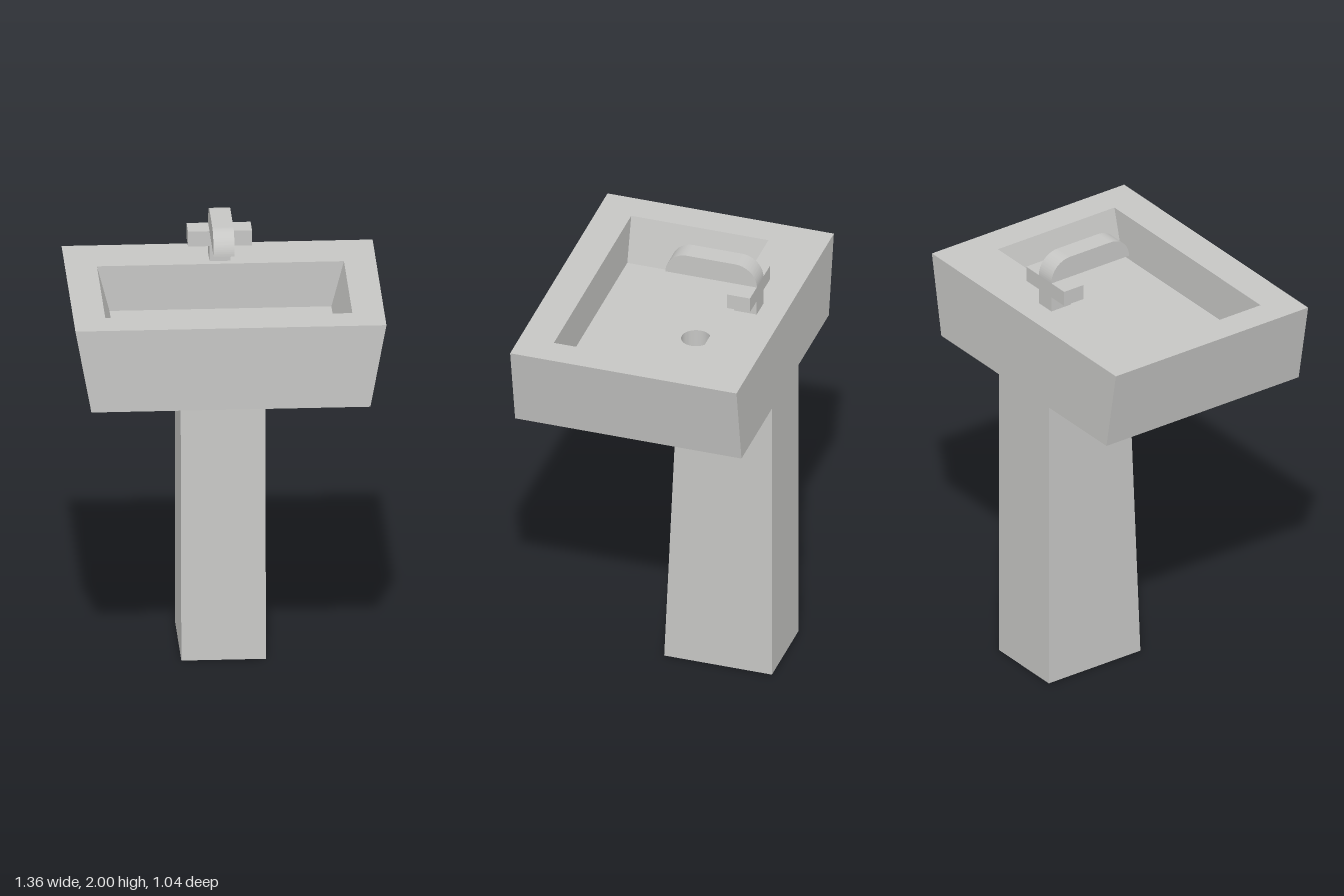
import * as THREE from 'three';
import { toCreasedNormals } from 'three/addons/utils/BufferGeometryUtils.js';

const ceramic = new THREE.MeshStandardMaterial({ color: 0xc6c6c4 });
ceramic.name = 'grey ceramic';

function part(name, geometry) {
  const mesh = new THREE.Mesh(geometry, ceramic);
  mesh.name = name;
  return mesh;
}

function box(name, w, h, d, x, y, z) {
  return part(name, new THREE.BoxGeometry(w, h, d).translate(x, y, z));
}

// Rectangle in plan; shape y is -z
function rectangle(Type, halfX, z0, z1) {
  return new Type([[-halfX, -z1], [halfX, -z1], [halfX, -z0], [-halfX, -z0]]
    .map(([x, y]) => new THREE.Vector2(x, y)));
}

// Raises a plan shape from y0 to y1, then remaps x at each height
function raise(shape, y0, y1, mapX) {
  const geometry = new THREE.ExtrudeGeometry(shape, { depth: y1 - y0, bevelEnabled: false, curveSegments: 24 });
  geometry.rotateX(-Math.PI / 2).translate(0, y0, 0);
  const p = geometry.attributes.position;
  for (let i = 0; i < p.count; i++) p.setX(i, mapX(p.getX(i), p.getY(i)));
  return toCreasedNormals(geometry, 0.6);
}

// Side profile drawn as (z, y), extruded across x and centred
function sideProfile(shape, width) {
  const geometry = new THREE.ExtrudeGeometry(shape, { depth: width, bevelEnabled: false, curveSegments: 16 });
  geometry.rotateY(-Math.PI / 2).translate(width / 2, 0, 0);
  return toCreasedNormals(geometry, 0.6);
}

export function createModel() {
  const group = new THREE.Group();
  group.name = 'pedestalSink';

  const bottom = 1.38, floor = 1.55, rim = 1.76;
  const outerAt = (y) => THREE.MathUtils.mapLinear(y, bottom, rim, 0.61, 0.68);
  const innerAt = (y) => THREE.MathUtils.mapLinear(y, floor, rim, 0.485, 0.54);

  // Basin floor slab with the drain hole
  const slab = rectangle(THREE.Shape, 1, -0.52, 0.52);
  slab.holes.push(new THREE.Path().absarc(0, 0.11, 0.065, 0, Math.PI * 2, true));
  group.add(part('basinFloor', raise(slab, bottom, floor,
    (x, y) => Math.abs(x) > 0.9 ? Math.sign(x) * outerAt(y) : x)));

  // Flared basin walls around the bowl
  const walls = rectangle(THREE.Shape, 1, -0.52, 0.52);
  walls.holes.push(rectangle(THREE.Path, 0.5, -0.265, 0.365));
  group.add(part('basinWalls', raise(walls, floor, rim,
    (x, y) => Math.sign(x) * (Math.abs(x) > 0.9 ? outerAt(y) : innerAt(y)))));

  // Pedestal with a sloping front
  const column = new THREE.Shape([[-0.52, 0], [-0.025, 0], [-0.085, bottom], [-0.52, bottom]]
    .map(([z, y]) => new THREE.Vector2(z, y)));
  group.add(part('pedestal', sideProfile(column, 0.37)));

  // Tap: post, cross handle and rounded spout
  const tap = new THREE.Group();
  tap.name = 'tap';
  tap.add(box('tapPost', 0.092, 0.14, 0.105, 0, 1.83, -0.352));
  for (const side of [-1, 1]) {
    tap.add(box(side > 0 ? 'leftHandle' : 'rightHandle', 0.094, 0.07, 0.105, side * 0.093, 1.865, -0.352));
  }
  const spout = new THREE.Shape();
  spout.moveTo(-0.405, 1.9);
  spout.lineTo(0.015, 1.9);
  spout.absarc(-0.085, 1.9, 0.1, 0, Math.PI / 2, false);
  spout.lineTo(-0.305, 2);
  spout.absarc(-0.305, 1.9, 0.1, Math.PI / 2, Math.PI, false);
  tap.add(part('spout', sideProfile(spout, 0.092)));
  group.add(tap);

  return group;
}
